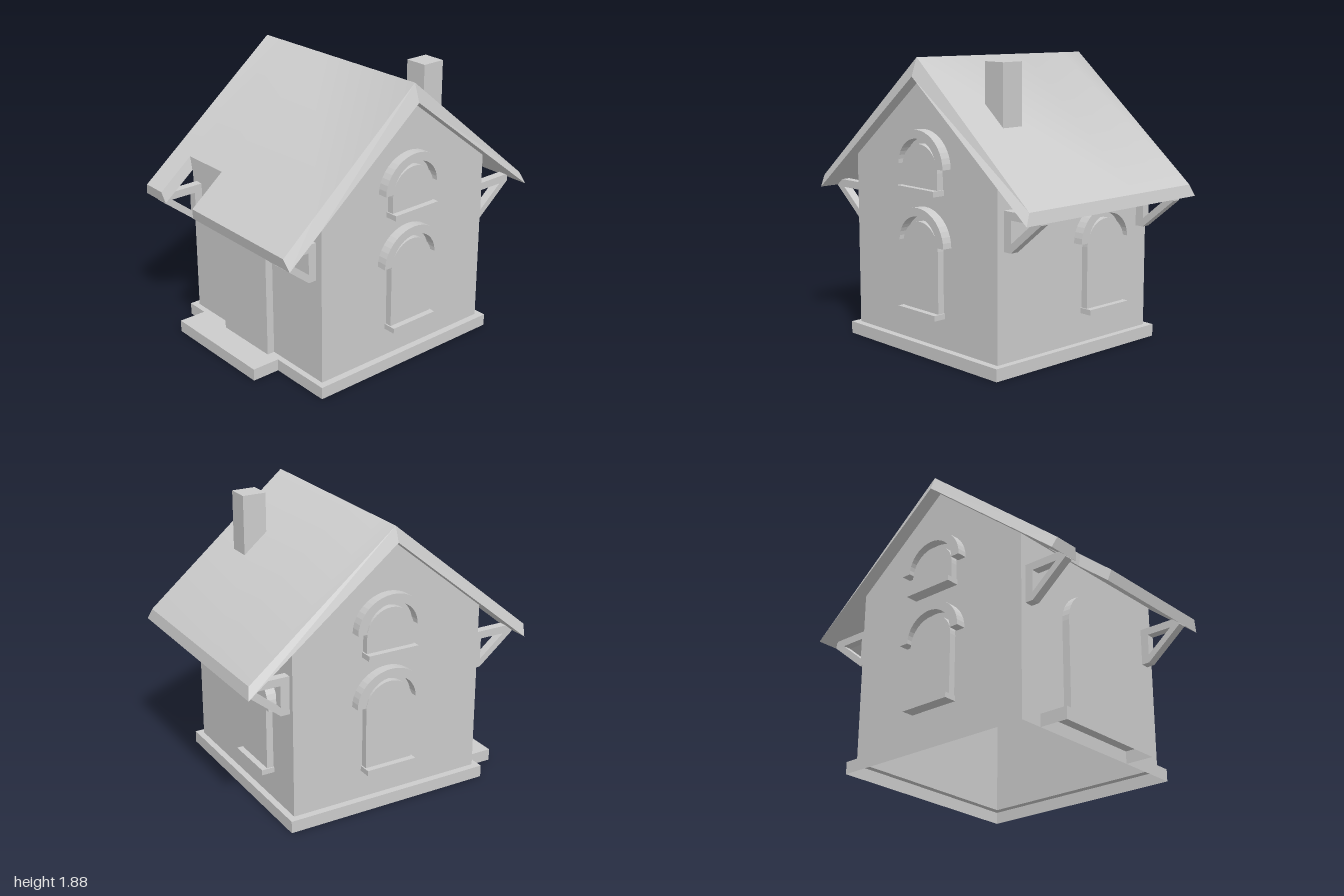
import * as THREE from 'three';
import { mergeVertices } from 'three/addons/utils/BufferGeometryUtils.js';

const solid = new THREE.MeshStandardMaterial({ color: 0xcccccc, flatShading: true });
const sheet = new THREE.MeshStandardMaterial({ color: 0xcccccc, side: THREE.DoubleSide });

function add(parent, name, geometry, material = solid) {
  const mesh = new THREE.Mesh(geometry, material);
  mesh.name = name;
  parent.add(mesh);
  return mesh;
}

function box(parent, name, x0, x1, y0, y1, z0, z1) {
  const g = new THREE.BoxGeometry(x1 - x0, y1 - y0, z1 - z0);
  g.translate((x0 + x1) / 2, (y0 + y1) / 2, (z0 + z1) / 2);
  return add(parent, name, g);
}

// Thin surface from four-cornered faces; smooth shares normals between neighbours
function quads(list, smooth = false) {
  let g = new THREE.BufferGeometry();
  const p = list.flatMap(([a, b, c, d]) => [a, b, c, a, c, d]).flat();
  g.setAttribute('position', new THREE.Float32BufferAttribute(p, 3));
  if (smooth) g = mergeVertices(g);
  g.computeVertexNormals();
  return g;
}

const rect = (x0, x1, y, z0, z1) => [[x0, y, z0], [x0, y, z1], [x1, y, z1], [x1, y, z0]];
// Four faces joining two rectangles
const band = (a, b) => a.map((p, i) => [p, a[(i + 1) % 4], b[(i + 1) % 4], b[i]]);

const extrude = (shape, depth) =>
  new THREE.ExtrudeGeometry(shape, { depth, bevelEnabled: false, curveSegments: 10 });

// Upright panel with a rounded head
function archShape(r, y0, spring, rise) {
  const s = new THREE.Shape();
  s.moveTo(-r, y0);
  s.lineTo(r, y0);
  s.lineTo(r, spring);
  s.absellipse(0, spring, r, rise, 0, Math.PI, false);
  s.closePath();
  return s;
}

// Arched window with sill and hood, facing local +z; the head sits at the given height
function addWindow(parent, name, bottom, head, x, z, turn) {
  const w = new THREE.Group();
  w.name = name;
  add(w, 'windowPanel', extrude(archShape(0.168, bottom, head - 0.03, 0.165), 0.045));
  box(w, 'windowSill', -0.177, 0.177, bottom, bottom + 0.035, 0, 0.085);
  const hood = new THREE.Shape();
  hood.moveTo(0.243, head);
  hood.absellipse(0, head, 0.243, 0.225, 0, Math.PI, false);
  hood.lineTo(-0.18, head);
  hood.absellipse(0, head, 0.18, 0.17, Math.PI, 0, true);
  hood.closePath();
  add(w, 'windowHood', extrude(hood, 0.065));
  w.position.set(x, 0, z);
  w.rotation.y = turn;
  parent.add(w);
}

// Roof slab on a 4 x 4 grid (left eave, notch, ridge, right eave) with one cell left out
function addRoof(parent) {
  const layer = (left, ridge, right, tilt, zs) => (i, j) => {
    const z = zs[j], ry = ridge + tilt * z;
    const mix = 0.77 / -left[0];
    return [
      [left[0], left[1], z],
      [-0.77, ry + (left[1] - ry) * mix, z],
      [0, ry, z],
      [right[0], right[1], z],
    ][i];
  };
  const top = layer([-1, 1.045], 1.87, [0.98, 1.055], 0.014, [0.71, -0.2, -0.55, -0.72]);
  const under = layer([-0.985, 0.97], 1.765, [1, 0.98], 0, [0.75, -0.22, -0.53, -0.755]);
  const cells = (at) => {
    const out = [];
    for (let i = 0; i < 3; i++) for (let j = 0; j < 3; j++) {
      if (i === 0 && j === 1) continue;
      out.push([at(i, j), at(i + 1, j), at(i + 1, j + 1), at(i, j + 1)]);
    }
    return out;
  };
  const rim = [[0, 0], [1, 0], [2, 0], [3, 0], [3, 3], [2, 3], [1, 3], [0, 3], [0, 2], [1, 2], [1, 1], [0, 1]];
  const edges = rim.map((a, k) => {
    const b = rim[(k + 1) % rim.length];
    return [under(...a), under(...b), top(...b), top(...a)];
  });
  add(parent, 'roofTop', quads(cells(top), true), sheet);
  add(parent, 'roofUnderside', quads(cells(under)), sheet);
  add(parent, 'roofEdges', quads(edges), sheet);
}

export function createModel() {
  const house = new THREE.Group();
  house.name = 'house';
  const L = -0.68, R = 0.667, Z = 0.663, H = 0.08;

  // Hollow plinth and side step, open below
  const outer = (y) => rect(-0.72, 0.71, y, -0.71, 0.71);
  add(house, 'plinth', quads([
    ...band(outer(0), outer(H)),
    ...band(outer(H), rect(L, R, H, -Z, Z)),
  ]), sheet);
  const step = (y) => rect(-0.91, -0.72, y, -0.55, 0.27);
  add(house, 'doorStep', quads([...band(step(0), step(H)), step(H)]), sheet);

  // Hollow walls with two gables
  const walls = [
    [[L, H, Z], [L, H, -Z], [L, 1.22, -Z], [L, 1.22, Z]],
    [[R, H, -Z], [R, H, Z], [R, 1.245, Z], [R, 1.245, -Z]],
  ];
  for (const z of [Z, -Z]) {
    const gable = [
      [[L, H, z], [0, H, z], [0, 1.767, z], [L, 1.22, z]],
      [[0, H, z], [R, H, z], [R, 1.245, z], [0, 1.767, z]],
    ];
    walls.push(...(z > 0 ? gable : gable.map((q) => q.reverse())));
  }
  add(house, 'walls', quads(walls), sheet);

  addRoof(house);
  box(house, 'chimney', 0.33, 0.49, 1.4, 1.86, 0.295, 0.45);

  // Two windows on each gable, one on the right-hand wall of the front view
  for (const [side, z, turn] of [['front', Z, 0], ['back', -Z, Math.PI]]) {
    addWindow(house, side + 'LowerWindow', 0.27, 0.73, 0.012, z, turn);
    addWindow(house, side + 'UpperWindow', 1.045, 1.215, 0.012, z, turn);
  }
  addWindow(house, 'sideWindow', 0.27, 0.73, R, -0.23, Math.PI / 2);

  // Arched door above the step
  const door = add(house, 'door', extrude(archShape(0.23, H, 0.77, 0.23), 0.052));
  door.position.set(L, 0, -0.05);
  door.rotation.y = -Math.PI / 2;

  // Triangular brackets under the eaves
  const pts = (list) => list.map(([x, y]) => new THREE.Vector2(x, y));
  const frame = new THREE.Shape(pts([[0, 0.765], [0.06, 0.765], [0.308, 0.965], [0.308, 1.013], [0, 1.013]]));
  frame.holes.push(new THREE.Path(pts([[0.06, 0.82], [0.06, 0.962], [0.235, 0.962]])));
  const bracket = extrude(frame, 0.057).translate(0, 0, -0.0285);
  for (const z of [0.583, -0.597]) {
    add(house, 'rightBracket', bracket).position.set(R, 0, z);
    const left = add(house, 'leftBracket', bracket);
    left.position.set(L + 0.005, 0, z);
    left.rotation.y = Math.PI;
  }
  return house;
}
